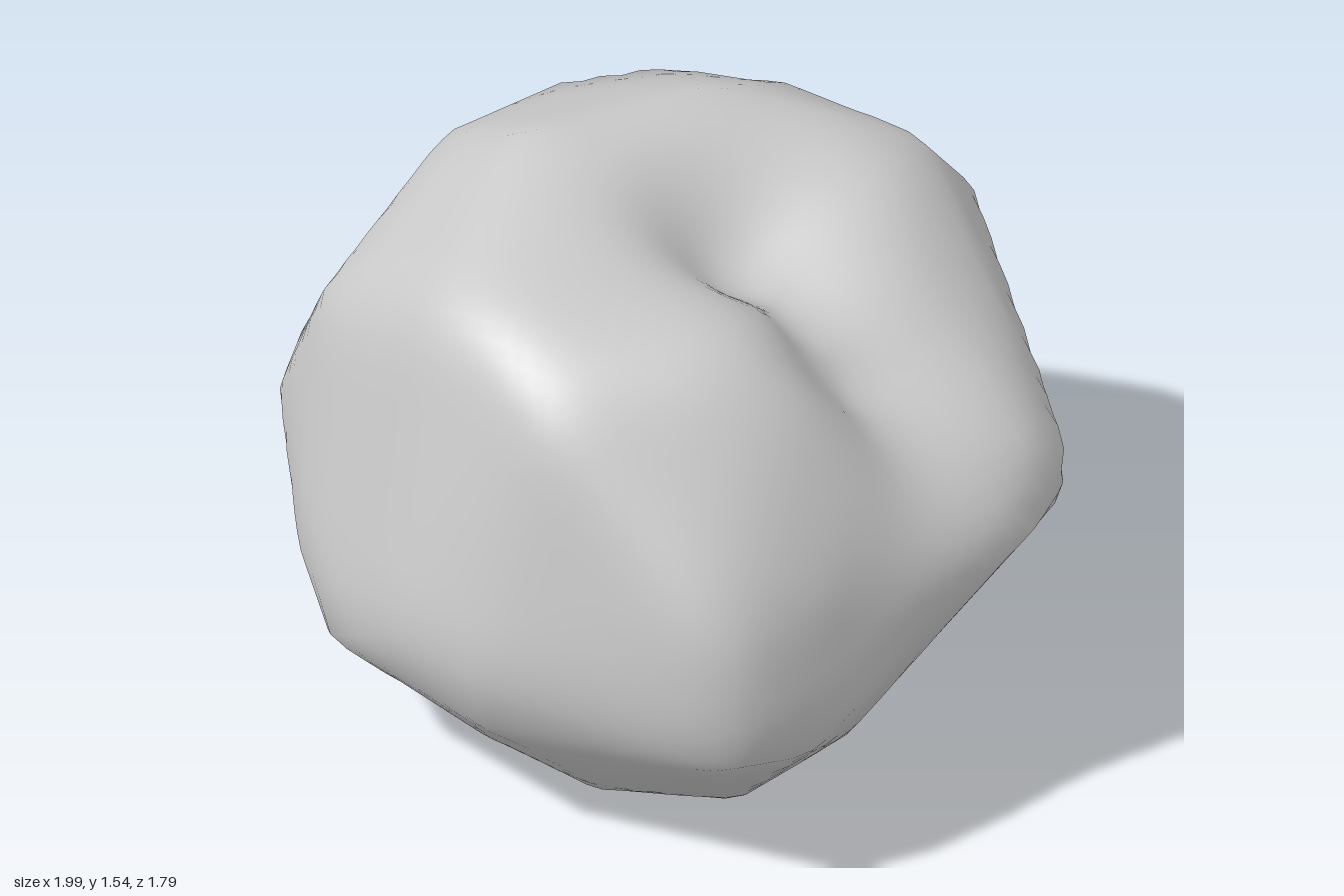
import * as THREE from 'three';
import { mergeVertices } from 'three/addons/utils/BufferGeometryUtils.js';
import { ConvexGeometry } from 'three/addons/geometries/ConvexGeometry.js';

// Corners of the boulder's outer bulk
const CORNERS = [
  // underside
  [-0.66, 0.27, 0.45], [-0.56, 0.19, 0], [-0.1, 0.28, 0.72], [0.1, 0.27, 0.72], [0.1, 0.07, 0.52],
  [0.35, 0.03, 0.34], [0.45, 0.1, 0.42], [-0.08, 0, -0.25], [0.5, 0.12, 0], [0.71, 0.33, 0.33],
  [0.02, 0.12, -0.48], [-0.28, 0.12, -0.46], [0.6, 0.28, -0.44],
  // widest belt
  [-1, 0.78, 0.07], [-0.99, 0.52, 0.12], [-0.94, 0.76, 0.28], [-0.96, 0.58, -0.18], [-0.88, 0.5, -0.28],
  [-0.71, 0.53, 0.57], [-0.55, 0.4, 0.7], [-0.05, 0.4, 0.84], [-0.28, 0.6, 0.85], [-0.03, 0.58, 0.9],
  [0.64, 0.47, 0.79], [0.63, 0.83, 0.79], [0.76, 0.45, 0.59], [1, 0.8, -0.07], [0.95, 0.91, -0.31],
  [0.96, 0.77, -0.29], [0.36, 0.8, -0.88], [0.1, 0.77, -0.9], [0.1, 0.57, -0.85], [-0.46, 0.8, -0.67],
  // shoulders and crown
  [-0.75, 1.18, 0.38], [-0.69, 1.38, -0.1], [-0.73, 1.2, -0.42], [-0.39, 1.55, 0.02], [-0.15, 1.51, -0.43],
  [-0.25, 1.45, 0.65], [-0.05, 1.47, 0.62], [0.4, 1.4, 0.44], [0.1, 1.33, 0.78], [0.56, 1.29, 0.35],
  [-0.4, 1.36, -0.64], [-0.58, 1.34, -0.5], [-0.08, 1.39, -0.7], [0.3, 1.37, -0.7], [0.38, 1.18, -0.83],
  [-0.1, 1.17, -0.85],
];

// Hollows worn into the bulk: centre, radius, depth
const HOLLOWS = [
  [new THREE.Vector3(0.21, 1.4, -0.1), 0.4, 0.18],
  [new THREE.Vector3(0.54, 1.2, 0.02), 0.34, 0.13],
  [new THREE.Vector3(0.76, 1.06, 0.02), 0.28, 0.08],
  [new THREE.Vector3(0.85, 0.75, 0.3), 0.3, 0.03],
  [new THREE.Vector3(-0.3, 0.2, 0.45), 0.33, 0.07],
  [new THREE.Vector3(-0.36, 0.12, -0.02), 0.24, 0.04],
];

const CENTRE = new THREE.Vector3(0, 0.75, 0);

// Planes of the faceted bulk, measured from its centre
function bulkPlanes() {
  const hull = new ConvexGeometry(CORNERS.map((c) => new THREE.Vector3(...c).sub(CENTRE)));
  const pos = hull.getAttribute('position');
  const corner = (i) => new THREE.Vector3().fromBufferAttribute(pos, i);
  const planes = [];
  for (let i = 0; i < pos.count; i += 3) {
    planes.push(new THREE.Plane().setFromCoplanarPoints(corner(i), corner(i + 1), corner(i + 2)));
  }
  return planes;
}

// Blends each normal with its neighbours for a worn, rounded look
function softenNormals(geometry, passes) {
  const normal = geometry.getAttribute('normal');
  const index = geometry.getIndex();
  for (let pass = 0; pass < passes; pass++) {
    const old = normal.clone();
    const add = (to, from) => normal.setXYZ(
      to,
      normal.getX(to) + old.getX(from),
      normal.getY(to) + old.getY(from),
      normal.getZ(to) + old.getZ(from),
    );
    for (let i = 0; i < index.count; i += 3) {
      for (let k = 0; k < 3; k++) add(index.getX(i + k), index.getX(i + ((k + 1) % 3)));
    }
    geometry.normalizeNormals();
  }
}

function boulderGeometry() {
  const planes = bulkPlanes();
  const ball = new THREE.IcosahedronGeometry(1, 21);
  ball.deleteAttribute('normal');
  ball.deleteAttribute('uv');
  const geometry = mergeVertices(ball);
  const pos = geometry.getAttribute('position');
  const dir = new THREE.Vector3();
  const point = new THREE.Vector3();
  for (let i = 0; i < pos.count; i++) {
    // push each point out to the nearest facet
    dir.fromBufferAttribute(pos, i).normalize();
    let radius = Infinity;
    for (const plane of planes) {
      const slope = plane.normal.dot(dir);
      if (slope > 1e-5) radius = Math.min(radius, -plane.constant / slope);
    }
    point.copy(dir).multiplyScalar(radius).add(CENTRE);
    // sink the hollows, each with a flattish floor
    let sink = 0;
    for (const [centre, size, depth] of HOLLOWS) {
      sink += depth * (1 - THREE.MathUtils.smoothstep(point.distanceTo(centre), size * 0.15, size));
    }
    point.addScaledVector(dir, -sink);
    pos.setXYZ(i, point.x, point.y, point.z);
  }
  geometry.computeVertexNormals();
  softenNormals(geometry, 6);
  return geometry;
}

export function createModel() {
  const group = new THREE.Group();
  group.name = 'rock';
  const boulder = new THREE.Mesh(boulderGeometry(), new THREE.MeshStandardMaterial({ color: 0xcccccc }));
  boulder.name = 'boulder';
  group.add(boulder);
  return group;
}
